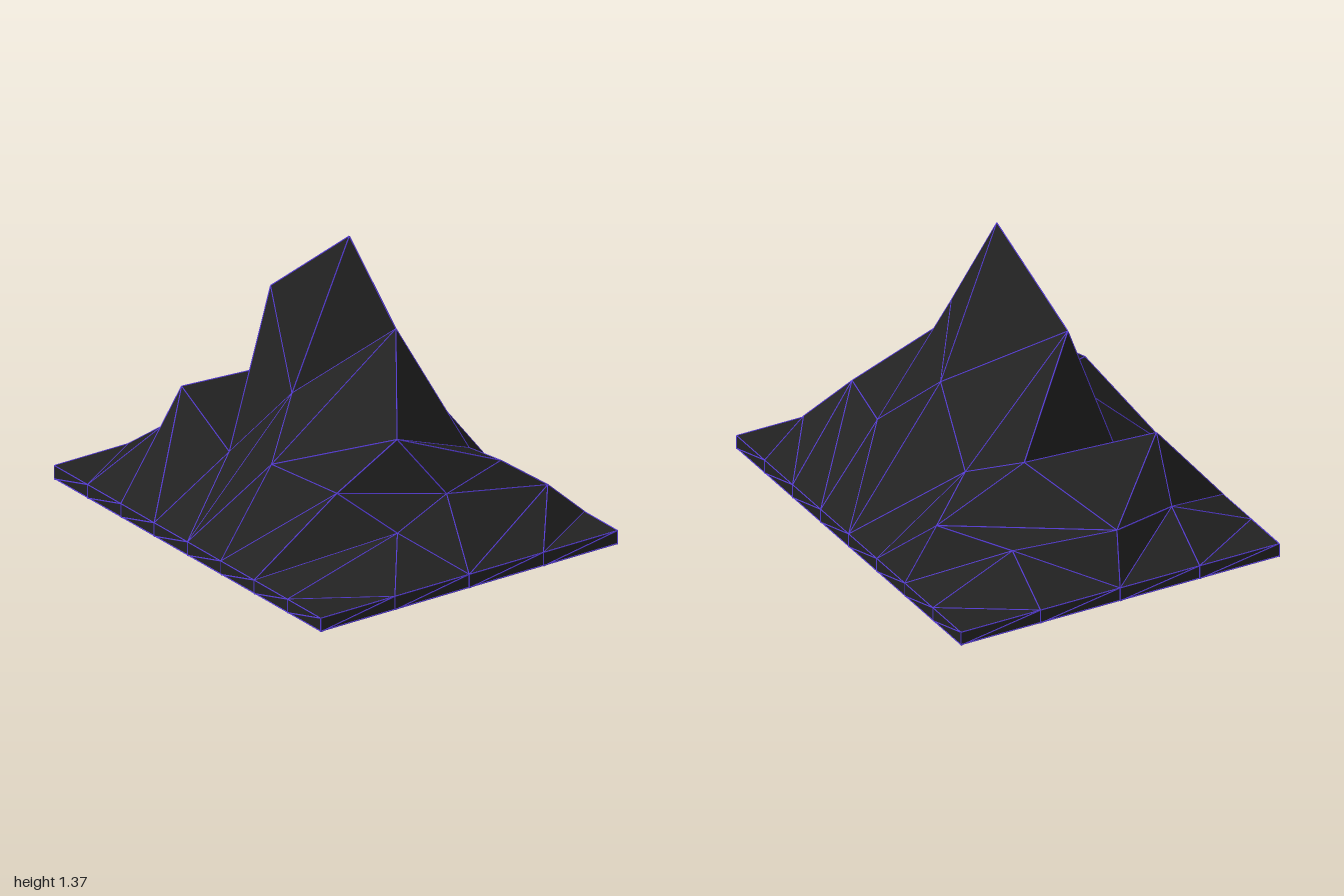
import * as THREE from 'three';
import { mergeGeometries } from 'three/addons/utils/BufferGeometryUtils.js';

const NX = 8, NZ = 4, BASE = 0.065, WIRE = 0.003;

// Displaced inner grid points [x, y, z], rows from back to front
const PEAKS = [
  [[-0.75, 0.24, -0.4], [-0.5, 0.31, -0.64], [-0.33, 0.43, -0.4], [0.05, 0.67, -0.31],
    [0.4, 0.34, -0.43], [0.68, 0.39, -0.4], [0.74, 0.24, -0.61]],
  [[-0.9, 0.295, 0.04], [-0.5, 0.505, -0.2], [-0.33, 0.995, 0.115], [0.1, 1.36, 0],
    [0.255, 0.935, -0.14], [0.64, 0.615, 0.13], [0.74, 0.34, -0.065]],
  [[-0.75, 0.24, 0.4], [-0.56, 0.51, 0.43], [-0.25, 0.3, 0.395], [-0.03, 0.615, 0.215],
    [0.255, 0.46, 0.53], [0.565, 0.4, 0.4], [0.74, 0.22, 0.2]],
];

const isRim = (i, j) => i === 0 || j === 0 || i === NX || j === NZ;
const flat = (i, j, y) => [-1 + (2 * i) / NX, y, -0.8 + (1.6 * j) / NZ];
const top = (i, j) => (isRim(i, j) ? flat(i, j, BASE) : PEAKS[j - 1][i - 1]);
const bottom = (i, j) => flat(i, j, 0);

function terrainTriangles() {
  const tris = [];
  const quad = (a, b, c, d) => tris.push([a, b, c], [a, c, d]); // split along a-c

  // Relief and underside; the diagonals mirror about both centre lines
  for (let j = 0; j < NZ; j++) {
    for (let i = 0; i < NX; i++) {
      const cell = [[i, j], [i, j + 1], [i + 1, j + 1], [i + 1, j]];
      if ((i < NX / 2) === (j < NZ / 2)) cell.push(cell.shift());
      quad(...cell.map((p) => top(...p)));
      const [a, b, c, d] = cell.map((p) => bottom(...p));
      quad(a, d, c, b);
    }
  }

  // Low wall around the rim
  const rim = [];
  for (let i = 0; i < NX; i++) rim.push([i, NZ]);
  for (let j = NZ; j > 0; j--) rim.push([NX, j]);
  for (let i = NX; i > 0; i--) rim.push([i, 0]);
  for (let j = 0; j < NZ; j++) rim.push([0, j]);
  rim.forEach((p, k) => {
    const q = rim[(k + 1) % rim.length];
    quad(bottom(...p), bottom(...q), top(...q), top(...p));
  });
  return tris;
}

// Thin rod between two points
function rod(a, b) {
  const p = new THREE.Vector3(...a), q = new THREE.Vector3(...b);
  const dir = q.clone().sub(p);
  const g = new THREE.CylinderGeometry(WIRE, WIRE, dir.length(), 4, 1, true);
  g.applyQuaternion(new THREE.Quaternion().setFromUnitVectors(new THREE.Vector3(0, 1, 0), dir.normalize()));
  const mid = p.add(q).multiplyScalar(0.5);
  return g.translate(mid.x, Math.max(mid.y, WIRE), mid.z);
}

export function createModel() {
  const model = new THREE.Group();
  model.name = 'mountain';
  const tris = terrainTriangles();

  // Faceted rock
  const geometry = new THREE.BufferGeometry();
  geometry.setAttribute('position', new THREE.Float32BufferAttribute(tris.flat(2), 3));
  geometry.computeVertexNormals();
  const rock = new THREE.Mesh(geometry, new THREE.MeshStandardMaterial({ color: 0x222222, flatShading: true }));
  rock.name = 'rock';
  model.add(rock);

  // Coloured wire along every facet edge
  const edges = new Map();
  for (const t of tris) {
    t.forEach((a, k) => {
      const b = t[(k + 1) % 3];
      edges.set([a.join(), b.join()].sort().join('|'), [a, b]);
    });
  }
  const wire = new THREE.Mesh(
    mergeGeometries([...edges.values()].map(([a, b]) => rod(a, b))),
    new THREE.MeshStandardMaterial({ color: 0x5a3fe0 }),
  );
  wire.name = 'edgeWire';
  model.add(wire);

  return model;
}
